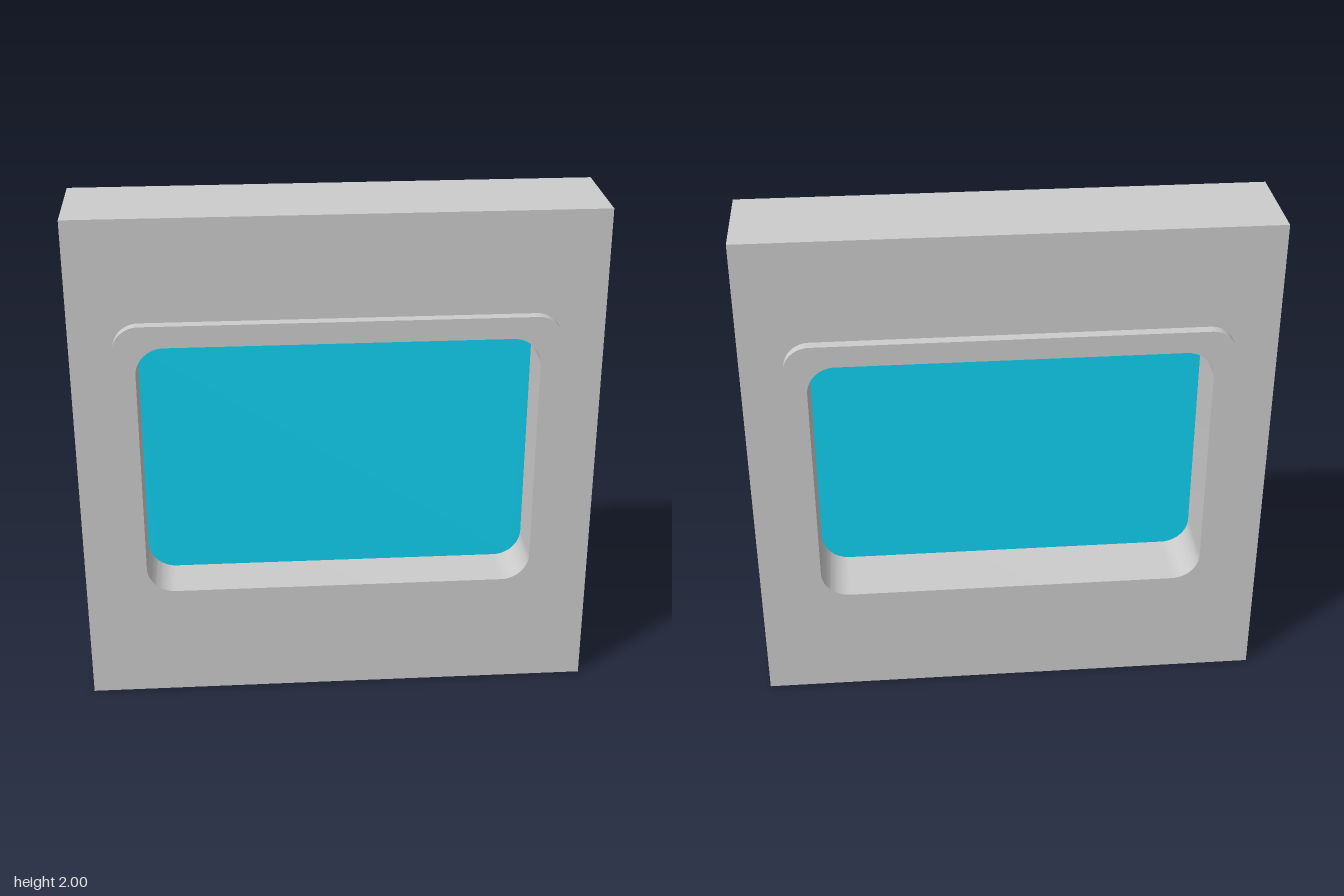
import * as THREE from 'three';
import { toCreasedNormals } from 'three/addons/utils/BufferGeometryUtils.js';

// Rounded rectangle outline centred on the origin, given by half sizes
function roundedRect(target, w, h, r) {
  target.absarc(w - r, h - r, r, 0, Math.PI / 2);
  target.absarc(-w + r, h - r, r, Math.PI / 2, Math.PI);
  target.absarc(-w + r, -h + r, r, Math.PI, Math.PI * 1.5);
  target.absarc(w - r, -h + r, r, Math.PI * 1.5, Math.PI * 2);
  target.closePath();
  return target;
}

// Extruded plate spanning zBack to zFront, raised to mid-height
function plate(name, shape, zBack, zFront, color) {
  const extruded = new THREE.ExtrudeGeometry(shape, {
    depth: zFront - zBack, bevelEnabled: false, curveSegments: 10,
  });
  const geometry = toCreasedNormals(extruded, Math.PI / 6);
  const mesh = new THREE.Mesh(geometry, new THREE.MeshStandardMaterial({ color }));
  mesh.name = name;
  mesh.position.set(0, 1, zBack);
  return mesh;
}

export function createModel() {
  const group = new THREE.Group();
  group.name = 'windowWall';

  // Wall panel; the edge of its opening is buried inside the frame
  const wall = new THREE.Shape([
    new THREE.Vector2(-1, -1), new THREE.Vector2(1, -1),
    new THREE.Vector2(1, 1), new THREE.Vector2(-1, 1),
  ]);
  wall.holes.push(roundedRect(new THREE.Path(), 0.8, 0.56, 0.1));
  group.add(plate('wall', wall, -0.2, 0.2, 0xcccccc));

  // Frame running through the wall and standing proud on both sides
  const frame = roundedRect(new THREE.Shape(), 0.838, 0.602, 0.1);
  frame.holes.push(roundedRect(new THREE.Path(), 0.756, 0.517, 0.108));
  group.add(plate('frame', frame, -0.24, 0.24, 0xcccccc));

  // Thin glass pane, tucked into the frame
  const glass = roundedRect(new THREE.Shape(), 0.77, 0.53, 0.108);
  group.add(plate('glass', glass, 0.016, 0.038, 0x10d0f0));

  return group;
}
